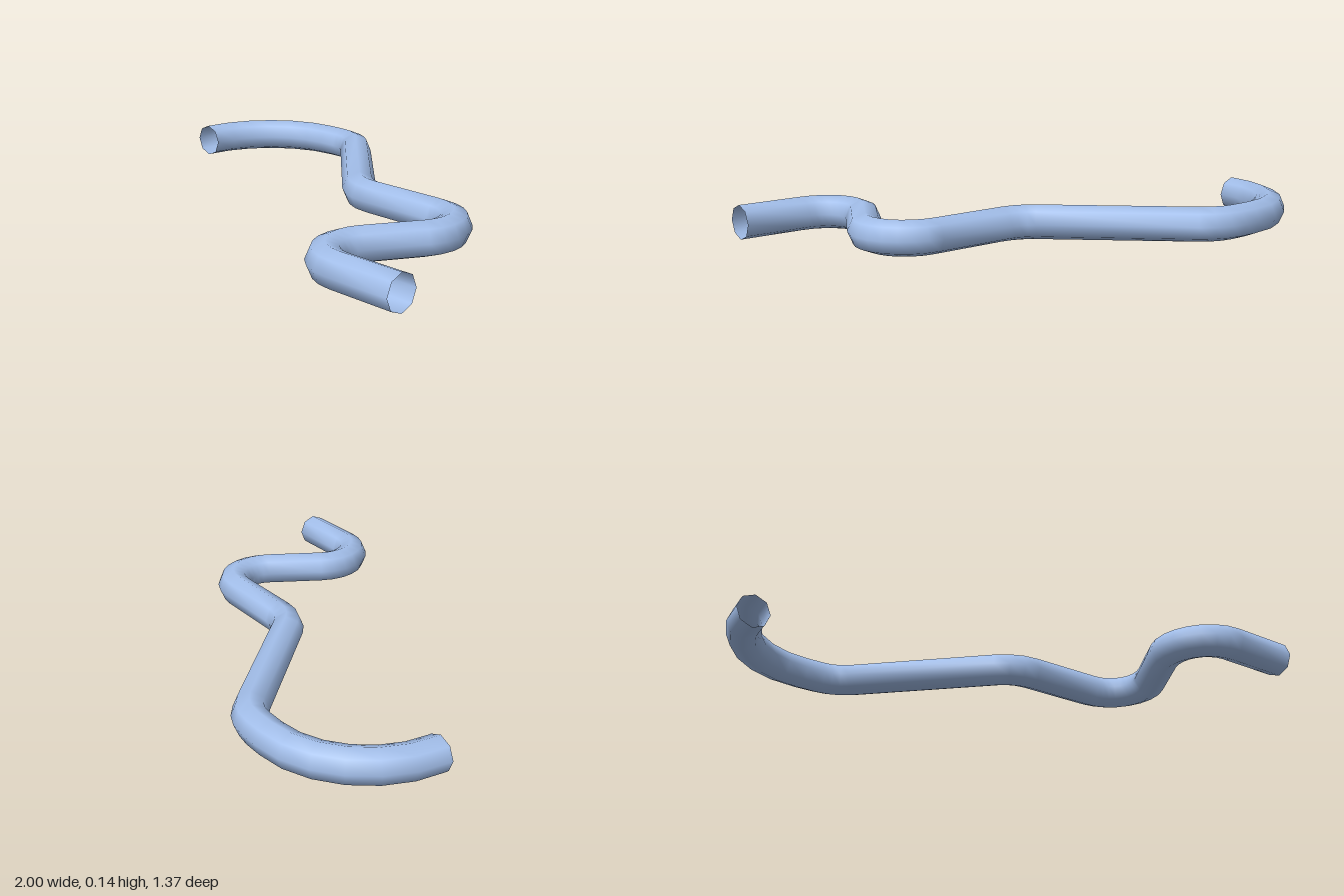
import * as THREE from 'three';

const RADIUS = 0.0685, SIDES = 8, STEP = Math.PI / 12;

// Corners of the pipe's run on the floor plane: x, z, bend radius
const CORNERS = [
  [-0.932, -0.206, 0],
  [-0.932, -0.617, 0.4],
  [-0.373, -0.617, 0.19],
  [0.176, -0.068, 0.19],
  [0.85, -0.068, 0.16],
  [0.455, 0.617, 0.16],
  [1, 0.617, 0],
];

// Turns the corners into stations (x, z, heading), rounding each bend with an arc
function bentPath(corners) {
  const heading = (a, b) => Math.atan2(b[1] - a[1], b[0] - a[0]);
  const last = corners.length - 1;
  const stations = [[corners[0][0], corners[0][1], heading(corners[0], corners[1])]];
  for (let i = 1; i < last; i++) {
    const [x, z, r] = corners[i];
    const h0 = heading(corners[i - 1], corners[i]);
    const turn = heading(corners[i], corners[i + 1]) - h0;
    const s = Math.sign(turn) * r;
    const t = r * Math.tan(Math.abs(turn) / 2);
    const cx = x - Math.cos(h0) * t - Math.sin(h0) * s;
    const cz = z - Math.sin(h0) * t + Math.cos(h0) * s;
    const n = Math.round(Math.abs(turn) / STEP);
    for (let k = 0; k <= n; k++) {
      const h = h0 + (turn * k) / n;
      stations.push([cx + Math.sin(h) * s, cz - Math.cos(h) * s, h]);
    }
  }
  stations.push([corners[last][0], corners[last][1], heading(corners[last - 1], corners[last])]);
  return stations;
}

// Sweeps an eight-sided ring along the stations, leaving both ends open
function sweepPipe(stations) {
  const positions = [], indices = [];
  stations.forEach(([x, z, h], i) => {
    for (let j = 0; j < SIDES; j++) {
      const a = (j / SIDES) * Math.PI * 2;
      const out = RADIUS * Math.cos(a);
      positions.push(x - Math.sin(h) * out, RADIUS + RADIUS * Math.sin(a), z + Math.cos(h) * out);
      if (i === stations.length - 1) continue;
      const p = i * SIDES + j, q = i * SIDES + ((j + 1) % SIDES);
      indices.push(p, p + SIDES, q, p + SIDES, q + SIDES, q);
    }
  });
  const geometry = new THREE.BufferGeometry();
  geometry.setAttribute('position', new THREE.Float32BufferAttribute(positions, 3));
  geometry.setIndex(indices);
  geometry.computeVertexNormals();
  return geometry;
}

export function createModel() {
  const model = new THREE.Group();
  model.name = 'bentPipe';
  const material = new THREE.MeshStandardMaterial({ color: 0xa3bfeb, side: THREE.DoubleSide });
  const pipe = new THREE.Mesh(sweepPipe(bentPath(CORNERS)), material);
  pipe.name = 'pipe';
  model.add(pipe);
  return model;
}
